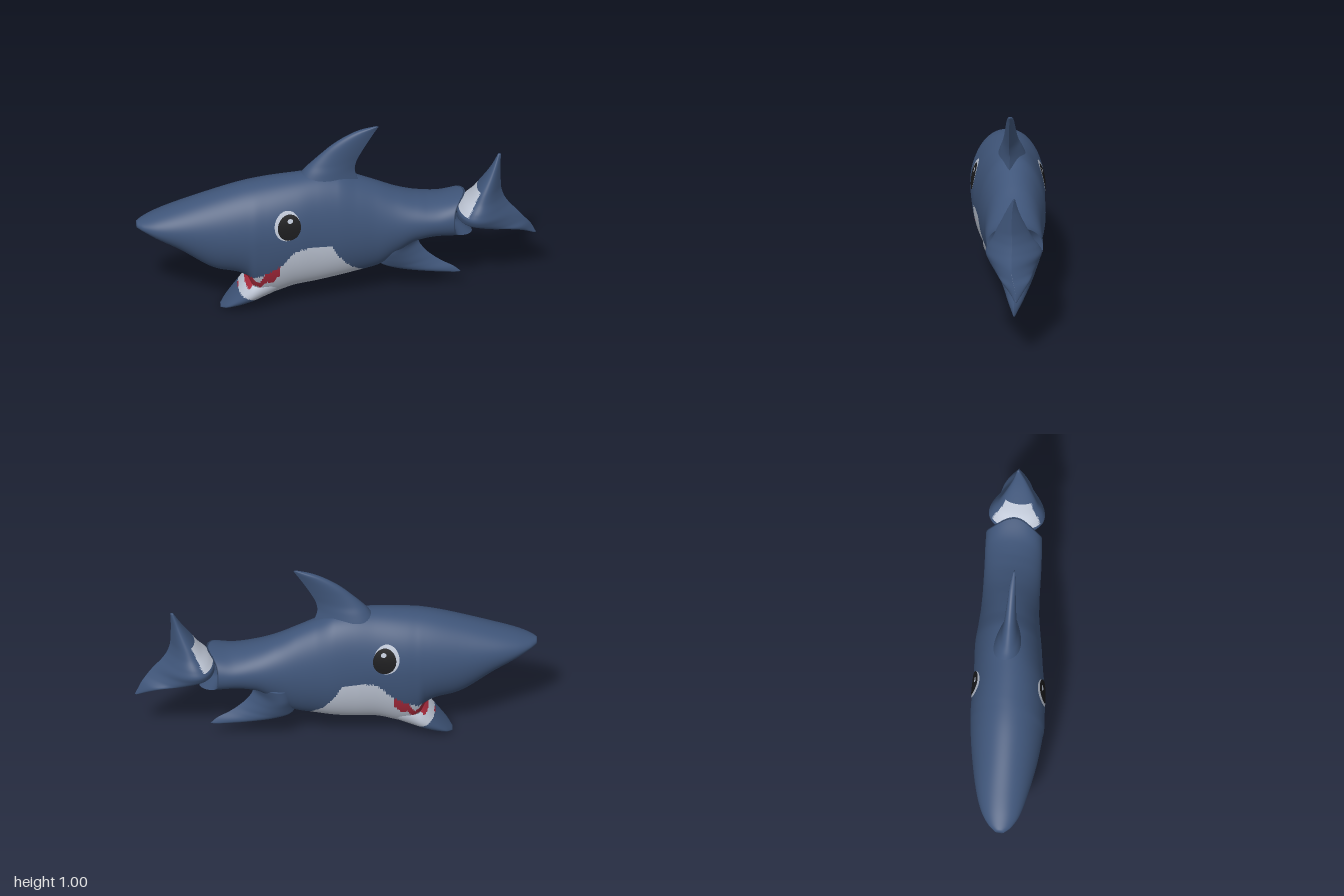
import * as THREE from 'three';

const mat = (name, color) => {
  const m = new THREE.MeshStandardMaterial({ color });
  m.name = name;
  return m;
};

// Smooth monotone interpolation of keyed rows [position, value, value, ...]
function sample(keys, p) {
  let i = 0;
  while (i < keys.length - 2 && p > keys[i + 1][0]) i++;
  const h = keys[i + 1][0] - keys[i][0];
  const t = Math.min(1, Math.max(0, (p - keys[i][0]) / h));
  const secant = (k, c) => (keys[k + 1][c] - keys[k][c]) / (keys[k + 1][0] - keys[k][0]);
  const slope = (k, c) => {
    if (k === 0) return secant(0, c);
    if (k === keys.length - 1) return secant(k - 1, c);
    const a = secant(k - 1, c), b = secant(k, c);
    return a * b <= 0 ? 0 : (2 * a * b) / (a + b);
  };
  return keys[i].slice(1).map((v, n) => {
    const c = n + 1, t2 = t * t, t3 = t2 * t;
    return v * (2 * t3 - 3 * t2 + 1) + keys[i + 1][c] * (3 * t2 - 2 * t3)
      + h * (slope(i, c) * (t3 - 2 * t2 + t) + slope(i + 1, c) * (t3 - t2));
  });
}

// Closed skin over rings of points; paint(x, y) picks the material of each face
function loft(name, rings, materials, paint = () => 0) {
  const n = rings[0].length, pts = rings.flat(), lists = materials.map(() => []);
  const center = (r) => r.reduce((s, p) => s.add(p), new THREE.Vector3()).divideScalar(n);
  const first = pts.push(center(rings[0])) - 1;
  const last = pts.push(center(rings[rings.length - 1])) - 1;
  const face = (a, b, c) => {
    const x = (pts[a].x + pts[b].x + pts[c].x) / 3, y = (pts[a].y + pts[b].y + pts[c].y) / 3;
    lists[paint(x, y)].push(a, b, c);
  };
  const end = (rings.length - 1) * n;
  for (let j = 0; j < n; j++) {
    const k = (j + 1) % n;
    face(first, j, k);
    face(last, end + k, end + j);
    for (let i = 0; i < end; i += n) {
      face(i + j, i + n + j, i + n + k);
      face(i + j, i + n + k, i + k);
    }
  }
  const g = new THREE.BufferGeometry().setFromPoints(pts);
  g.setIndex(lists.flat());
  let start = 0;
  lists.forEach((l, m) => { g.addGroup(start, l.length, m); start += l.length; });
  g.computeVertexNormals();
  const mesh = new THREE.Mesh(g, materials);
  mesh.name = name;
  return mesh;
}

// Body rows: x, top, bottom, height of widest point, centre z, half width
const BODY = [
  [-1, 0.535, 0.505, 0.52, 0.065, 0.022], [-0.97, 0.548, 0.49, 0.518, 0.062, 0.055],
  [-0.9, 0.577, 0.445, 0.51, 0.056, 0.095], [-0.8, 0.612, 0.385, 0.5, 0.048, 0.125],
  [-0.6, 0.677, 0.25, 0.475, 0.037, 0.163], [-0.5, 0.705, 0.225, 0.47, 0.031, 0.176],
  [-0.45, 0.716, 0.195, 0.468, 0.028, 0.181], [-0.41, 0.723, 0.1, 0.465, 0.026, 0.185],
  [-0.36, 0.73, 0.078, 0.465, 0.021, 0.185], [-0.2, 0.745, 0.12, 0.46, 0.007, 0.178],
  [-0.1, 0.75, 0.13, 0.45, -0.008, 0.172], [0, 0.742, 0.145, 0.44, -0.022, 0.167],
  [0.1, 0.7, 0.165, 0.435, -0.031, 0.155], [0.2, 0.655, 0.188, 0.43, -0.04, 0.145],
  [0.3, 0.607, 0.26, 0.44, -0.047, 0.142], [0.4, 0.572, 0.33, 0.455, -0.054, 0.142],
  [0.5, 0.555, 0.348, 0.46, -0.063, 0.142], [0.585, 0.573, 0.342, 0.46, -0.071, 0.14],
];
// Lower jaw, same columns
const JAW = [
  [-0.58, 0.012, 0, 0.006, 0.03, 0.02], [-0.55, 0.05, 0.01, 0.03, 0.03, 0.062],
  [-0.5, 0.115, 0.022, 0.07, 0.028, 0.093], [-0.46, 0.17, 0.036, 0.1, 0.027, 0.11],
  [-0.42, 0.215, 0.05, 0.13, 0.026, 0.12], [-0.36, 0.25, 0.075, 0.17, 0.022, 0.122],
  [-0.28, 0.27, 0.11, 0.2, 0.015, 0.105], [-0.22, 0.25, 0.17, 0.21, 0.008, 0.05],
];
// Fin rows: y, front x, rear x, centre z, half thickness
const DORSAL = [
  [0.6, -0.22, 0.14, -0.015, 0.11], [0.7, -0.2, 0.105, -0.015, 0.075],
  [0.76, -0.165, 0.09, -0.013, 0.055], [0.8, -0.13, 0.097, -0.012, 0.04],
  [0.85, -0.08, 0.12, -0.013, 0.03], [0.9, -0.025, 0.148, -0.015, 0.024],
  [0.95, 0.05, 0.178, -0.018, 0.018], [0.98, 0.115, 0.197, -0.02, 0.013],
  [1, 0.19, 0.21, -0.02, 0.004],
];
const LOWER = [
  [0.1, 0.57, 0.62, -0.068, 0.006], [0.13, 0.4, 0.59, -0.066, 0.035],
  [0.17, 0.25, 0.525, -0.064, 0.065], [0.2, 0.2, 0.485, -0.062, 0.082],
  [0.25, 0.2, 0.435, -0.06, 0.102], [0.3, 0.2, 0.41, -0.06, 0.118],
  [0.37, 0.2, 0.44, -0.06, 0.128],
];
const TAIL = [
  [0.3, 0.982, 0.995, -0.1, 0.005], [0.33, 0.92, 0.982, -0.098, 0.03],
  [0.37, 0.82, 0.962, -0.09, 0.07], [0.4, 0.68, 0.94, -0.08, 0.1],
  [0.44, 0.6, 0.91, -0.073, 0.13], [0.47, 0.6, 0.885, -0.072, 0.14],
  [0.5, 0.62, 0.86, -0.07, 0.13], [0.55, 0.665, 0.832, -0.068, 0.1],
  [0.6, 0.7, 0.82, -0.067, 0.078], [0.7, 0.765, 0.817, -0.07, 0.035],
  [0.78, 0.806, 0.82, -0.08, 0.005],
];

const range = (keys, n, f) => {
  const a = keys[0][0], b = keys[keys.length - 1][0];
  return Array.from({ length: n + 1 }, (_, i) => f(a + ((b - a) * i) / n));
};

// Egg-shaped sections along x; flare pushes the ends of the tail collar back
function bodyRings(keys, steps, seg, flare = false) {
  return range(keys, steps, (x) => {
    const [top, bottom, mid, zc, hw] = sample(keys, x);
    return Array.from({ length: seg }, (_, j) => {
      const a = (j / seg) * Math.PI * 2, s = Math.sin(a);
      const push = flare && x > 0.45 ? ((x - 0.45) / 0.135) * s ** 4 * (s > 0 ? 0.055 : 0.09) : 0;
      return new THREE.Vector3(x + push, mid + s * (s > 0 ? top - mid : mid - bottom), zc + hw * Math.cos(a));
    });
  });
}

// Teardrop sections stacked along y
function finRings(keys, steps = 48, seg = 48) {
  return range(keys, steps, (y) => {
    const [front, rear, zc, hw] = sample(keys, y);
    return Array.from({ length: seg }, (_, j) => {
      const a = (j / seg) * Math.PI * 2, s = (1 + Math.cos(a)) / 2;
      const z = 2.6 * Math.sqrt(s) * (1 - s) * Math.sign(Math.sin(a));
      return new THREE.Vector3(front + (rear - front) * s, y, zc + hw * z);
    });
  });
}

// Upper edge of the pale belly and the mouth
const BELLY = [
  [-0.5, 0.2], [-0.46, 0.235], [-0.4, 0.255], [-0.3, 0.31], [-0.27, 0.335], [-0.22, 0.395],
  [-0.17, 0.413], [-0.04, 0.41], [0, 0.345], [0.06, 0.26], [0.13, 0.19], [0.15, 0.1],
];
function paintBody(x, y) {
  if (x > 0.15 || x < -0.515 || y > 0.42) return 0;
  if (y < -0.1 - 0.45 * x) return 0; // jaw tip
  const edge = sample(BELLY, x)[0];
  if (y > edge) return 0;
  const depth = edge - y;
  const tooth = Math.max(0, 0.05 - Math.abs(x + 0.395) * 1.6);
  return x < -0.29 && depth > tooth && depth < 0.075 + 0.012 * Math.sin(x * 110) ? 2 : 1;
}

// Thin oval laid on the flank
function flankOval(name, material, cx, cy, rx, ry, side, lift) {
  const g = new THREE.RingGeometry(0.001, 1, 40, 8), p = g.attributes.position;
  for (let i = 0; i < p.count; i++) {
    const x = cx + rx * p.getX(i) * side, y = cy + ry * p.getY(i);
    const [top, , mid, zc, hw] = sample(BODY, x);
    const r = (y - mid) / (top - mid);
    p.setXYZ(i, x, y, zc + side * (hw * Math.sqrt(1 - r * r) + lift));
  }
  g.computeVertexNormals();
  const mesh = new THREE.Mesh(g, material);
  mesh.name = name;
  return mesh;
}

export function createModel() {
  const blue = mat('skinBlue', 0x3f5579), pale = mat('bellyPale', 0xbfc7d6);
  const red = mat('mouthRed', 0xa92a3c), black = mat('pupilBlack', 0x1b1b1d);
  const skin = [blue, pale, red];
  const shark = new THREE.Group();
  shark.name = 'shark';

  // Body, ending in a hollow collar around the tail
  const rings = bodyRings(BODY, 210, 112, true);
  const rim = rings[rings.length - 1], hub = new THREE.Vector3(0.55, 0.46, -0.07);
  rings.push(rim.map((p) => p.clone().lerp(hub, 0.5)));
  shark.add(loft('body', rings, skin, paintBody));
  shark.add(loft('lowerJaw', bodyRings(JAW, 64, 72), skin, paintBody));

  // Fins and tail
  shark.add(loft('dorsalFin', finRings(DORSAL), [blue]));
  shark.add(loft('lowerFin', finRings(LOWER), [blue]));
  shark.add(loft('tailFin', finRings(TAIL, 80, 64), [blue, pale],
    (x, y) => (y > 0.485 && y < 0.6 && x < 0.655 + (y - 0.49) * 0.55 ? 1 : 0)));

  // Eyes on both flanks
  for (const side of [1, -1]) {
    const eye = new THREE.Group();
    eye.name = side > 0 ? 'frontEye' : 'backEye';
    eye.add(
      flankOval('eyeWhite', pale, -0.255, 0.555, 0.064, 0.078, side, 0.003),
      flankOval('pupil', black, -0.245, 0.548, 0.058, 0.068, side, 0.005),
      flankOval('eyeGlint', pale, -0.24, 0.583, 0.014, 0.012, side, 0.007),
    );
    shark.add(eye);
  }
  return shark;
}
